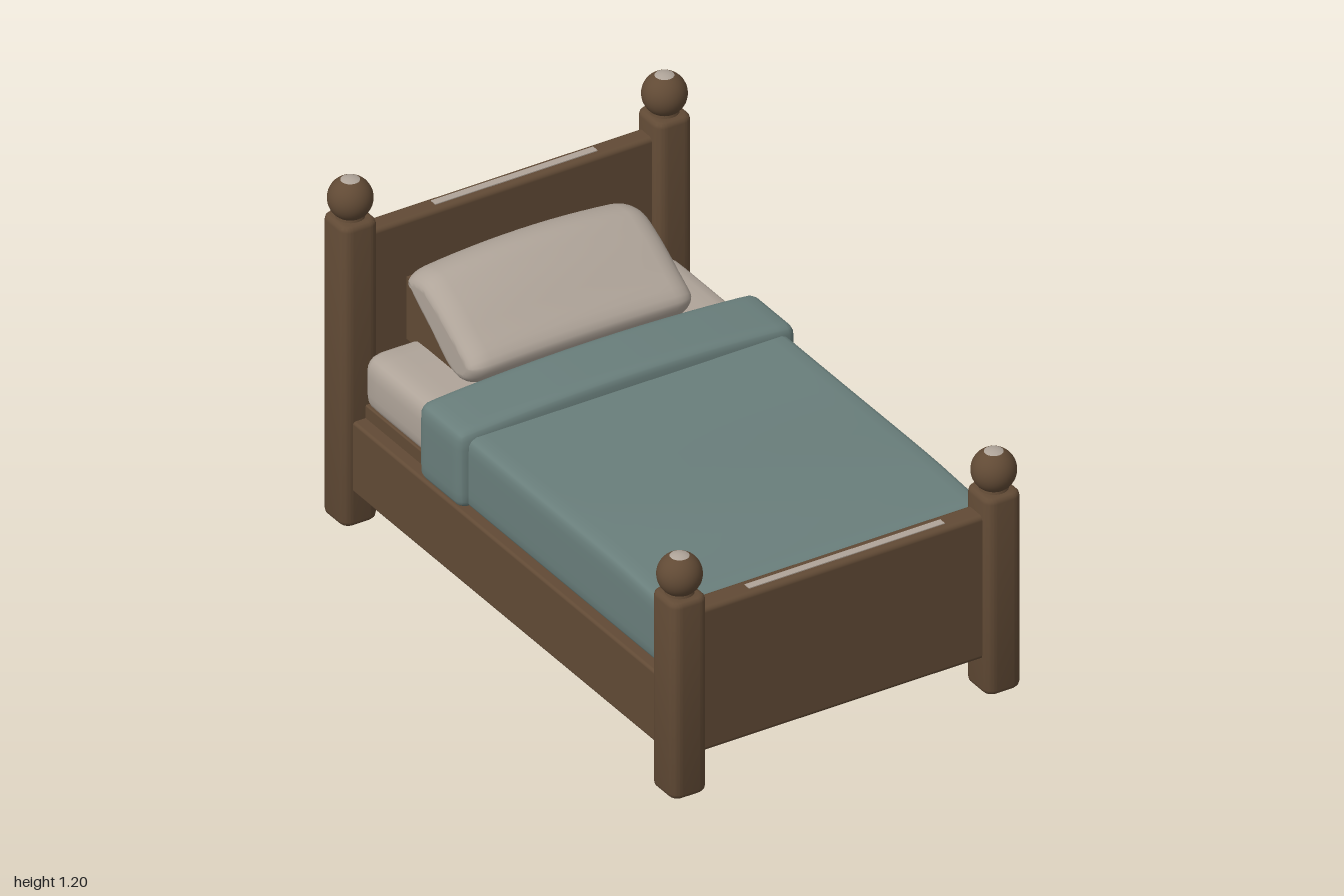
import * as THREE from 'three';
import { mergeVertices, toCreasedNormals } from 'three/addons/utils/BufferGeometryUtils.js';
import { RoundedBoxGeometry } from 'three/addons/geometries/RoundedBoxGeometry.js';

const material = (name, color) => {
  const m = new THREE.MeshStandardMaterial({ color });
  m.name = name;
  return m;
};

// Move every vertex by a rule, then weld and smooth the skin
function bendSmooth(geo, rule) {
  const pos = geo.attributes.position;
  const p = new THREE.Vector3();
  for (let i = 0; i < pos.count; i++) {
    rule(p.fromBufferAttribute(pos, i));
    pos.setXYZ(i, p.x, p.y, p.z);
  }
  geo.deleteAttribute('normal');
  geo.deleteAttribute('uv');
  const merged = mergeVertices(geo, 1e-5);
  merged.computeVertexNormals();
  return merged;
}

// Box with rounded edges and an evenly divided skin that a rule can bend
function softBox(w, h, d, r, bend = () => {}) {
  const half = new THREE.Vector3(w / 2, h / 2, d / 2);
  const inner = half.clone().subScalar(r);
  const low = inner.clone().negate();
  const core = new THREE.Vector3();
  const crowd = (t) => Math.sin(t * Math.PI / 2);
  return bendSmooth(new THREE.BoxGeometry(2, 2, 2, 20, 10, 20), (p) => {
    p.set(crowd(p.x), crowd(p.y), crowd(p.z)).multiply(half);
    core.copy(p).clamp(low, inner);
    p.sub(core).setLength(r).add(core);
    bend(p);
  });
}

// Upright post with well rounded corners and a chamfered top, standing on y = 0
function postGeometry(height) {
  const a = 0.064, b = 0.068, r = 0.035, chamfer = 0.018;
  const s = new THREE.Shape();
  s.absarc(a - r, b - r, r, 0, Math.PI / 2);
  s.absarc(r - a, b - r, r, Math.PI / 2, Math.PI);
  s.absarc(r - a, r - b, r, Math.PI, Math.PI * 1.5);
  s.absarc(a - r, r - b, r, Math.PI * 1.5, Math.PI * 2);
  const geo = new THREE.ExtrudeGeometry(s, {
    depth: height - 2 * chamfer, curveSegments: 6,
    bevelThickness: chamfer, bevelSize: chamfer, bevelOffset: -chamfer, bevelSegments: 3,
  });
  geo.translate(0, 0, chamfer).rotateX(-Math.PI / 2);
  return toCreasedNormals(geo, 0.6);
}

export function createModel() {
  const bed = new THREE.Group();
  bed.name = 'bed';
  const wood = material('brown wood', 0x614a35);
  const linen = material('off-white linen', 0xafa499);
  const teal = material('teal blanket', 0x697e7b);

  const add = (name, geo, mat, x, y, z, parent = bed) => {
    const mesh = new THREE.Mesh(geo, mat);
    mesh.name = name;
    mesh.position.set(x, y, z);
    parent.add(mesh);
    return mesh;
  };
  // Rounded board given by its limits on each axis
  const board = (name, x0, x1, y0, y1, z0, z1, r = 0.015) =>
    add(name, new RoundedBoxGeometry(x1 - x0, y1 - y0, z1 - z0, 3, r), wood,
      (x0 + x1) / 2, (y0 + y1) / 2, (z0 + z1) / 2);

  // Corner posts with necks, ball finials and pale crowns
  const cap = 0.44;
  for (const [end, z, height] of [['front', 0.93, 0.695], ['back', -0.93, 1.062]]) {
    for (const [side, s] of [['Left', 1], ['Right', -1]]) {
      const post = new THREE.Group();
      post.name = end + side + 'Post';
      post.position.set(s * 0.562, 0, z);
      bed.add(post);
      add('postShaft', postGeometry(height), wood, 0, 0, 0, post);
      add('neck', new THREE.CylinderGeometry(0.042, 0.05, 0.03, 24), wood, 0, height, 0, post);
      const y = height + 0.064;
      add('ballFinial', new THREE.SphereGeometry(0.071, 32, 24, 0, Math.PI * 2, cap, Math.PI - cap), wood, 0, y, 0, post);
      add('finialCrown', new THREE.SphereGeometry(0.071, 32, 6, 0, Math.PI * 2, 0, cap), linen, 0, y, 0, post);
    }
  }

  // End boards, each with a pale worn strip on its top edge
  board('headboard', -0.52, 0.52, 0.122, 1.002, -0.972, -0.9, 0.016);
  board('footboard', -0.52, 0.52, 0.122, 0.63, 0.885, 0.966, 0.016);
  add('headboardWear', new THREE.BoxGeometry(0.58, 0.008, 0.026), linen, 0.03, 1.001, -0.938);
  add('footboardWear', new THREE.BoxGeometry(0.7, 0.008, 0.026), linen, 0.03, 0.629, 0.928);

  // Side rails with slim inner ledges, and the deck between them
  for (const [side, s] of [['left', 1], ['right', -1]]) {
    const rail = board(side + 'Rail', -0.028, 0.028, 0.124, 0.374, -0.9, 0.9, 0.01);
    rail.position.x = s * 0.567;
    const ledge = board(side + 'Ledge', -0.012, 0.012, 0.25, 0.37, -0.9, 0.9, 0.005);
    ledge.position.x = s * 0.533;
  }
  board('deck', -0.55, 0.55, 0.355, 0.42, -0.91, 0.9, 0.005);

  // Mattress
  add('mattress', softBox(1.12, 0.2, 1.76, 0.06), linen, 0, 0.505, 0);

  // Blanket with a gently uneven top
  add('blanket', softBox(1.15, 0.25, 1.25, 0.035, (p) => {
    if (p.y > 0) {
      const z = p.z + 0.26;
      p.y += 0.014 * Math.exp(-(((z - 0.43) / 0.25) ** 2)) * (1 - (p.x / 0.6) ** 2);
      p.y -= 0.012 * Math.max(0, (z - 0.6) / 0.27);
    }
  }), teal, 0, 0.501, 0.26);

  // Turned-down fold, crowned in the middle
  add('blanketFold', softBox(1.21, 0.285, 0.25, 0.04, (p) => {
    if (p.y > 0) p.y += 0.012 - 0.026 * (p.x / 0.6) ** 2;
  }), teal, 0, 0.518, -0.365);

  // Pillow leaning on the headboard: side profile drawn as (distance back, height)
  const outline = new THREE.CatmullRomCurve3([
    [0.49, 0.69], [0.515, 0.62], [0.57, 0.592], [0.64, 0.605], [0.75, 0.695], [0.86, 0.785],
    [0.892, 0.83], [0.86, 0.865], [0.78, 0.882], [0.69, 0.843], [0.58, 0.768],
  ].map(([a, b]) => new THREE.Vector3(a, b, 0)), true);
  const pillowShape = new THREE.Shape(outline.getPoints(48).slice(0, 48).map((p) => new THREE.Vector2(p.x, p.y)));
  const pillowGeo = new THREE.ExtrudeGeometry(pillowShape, {
    depth: 0.66, steps: 12, bevelThickness: 0.07, bevelSize: 0.04, bevelOffset: -0.04, bevelSegments: 6,
  });
  pillowGeo.translate(0, 0, -0.33).rotateY(Math.PI / 2);
  add('pillow', bendSmooth(pillowGeo, (p) => {
    p.y -= 0.12 * Math.max(0, p.y - 0.62) * (p.x / 0.4) ** 2;
  }), linen, 0, 0, 0);

  // Wedge filling the gap behind the pillow
  const wedge = new THREE.Shape([[0.62, 0.58], [0.91, 0.58], [0.91, 0.8], [0.86, 0.8]]
    .map(([a, b]) => new THREE.Vector2(a, b)));
  const wedgeGeo = new THREE.ExtrudeGeometry(wedge, { depth: 0.76, bevelEnabled: false });
  wedgeGeo.translate(0, 0, -0.38).rotateY(Math.PI / 2);
  add('pillowSupport', wedgeGeo, wood, 0, 0, 0);

  return bed;
}
